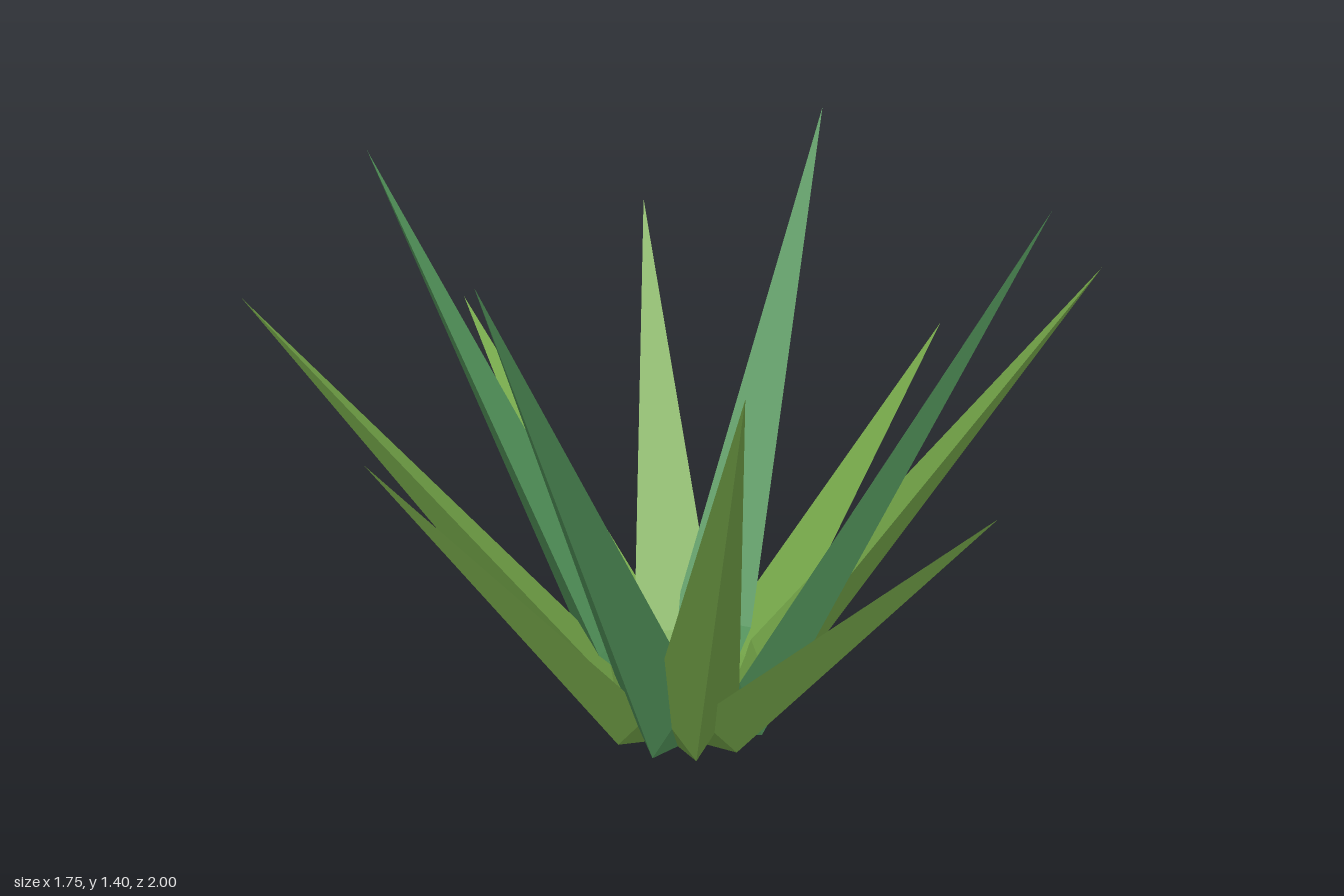
import * as THREE from 'three';

// One leaf: a flat inner face with a bend near the base, and a keeled back.
// Points are given as (distance from centre, height, sideways).
function leafGeometry(angle, reach, height) {
  const c = Math.cos(angle), s = Math.sin(angle);
  const p = (r, y, w) => [c * r - s * w, y, s * r + c * w];
  const midY = 0.14 * height;
  const baseR = p(0.1, 0, -0.05), baseL = p(0.1, 0, 0.05);
  const midR = p(0.188, midY, -0.108), midL = p(0.188, midY, 0.108);
  const keel = p(0.21, 0, 0), tip = p(reach, height, 0);
  const faces = [
    [baseR, baseL, midL], [baseR, midL, midR], [midR, midL, tip], // inner face
    [midL, baseL, keel], [tip, midL, keel],                       // left back
    [baseR, midR, keel], [midR, tip, keel],                       // right back
    [baseL, baseR, keel],                                         // underside
  ];
  const geometry = new THREE.BufferGeometry();
  geometry.setAttribute('position', new THREE.Float32BufferAttribute(faces.flat(2), 3));
  geometry.computeVertexNormals();
  return geometry;
}

export function createModel() {
  const group = new THREE.Group();
  group.name = 'spikyPlant';

  const deepGreen = new THREE.MeshStandardMaterial({ color: 0x52945a, flatShading: true });
  deepGreen.name = 'deepGreen';
  const leafGreen = new THREE.MeshStandardMaterial({ color: 0x76a84a, flatShading: true });
  leafGreen.name = 'leafGreen';

  // Half a turn of leaves: [degrees from +x towards +z, reach, height, material, name]
  const leaves = [
    [0, 0.84, 1.4, deepGreen, 'tallLeaf'],
    [30, 1.01, 0.895, leafGreen, 'lowLeaf'],
    [60, 0.855, 1.16, leafGreen, 'middleLeaf'],
    [90, 1.0, 1.4, deepGreen, 'tallLeaf'],
    [120, 0.855, 0.9, leafGreen, 'lowLeaf'],
    [150, 1.01, 1.155, leafGreen, 'middleLeaf'],
  ];

  // Repeat them on the opposite side
  for (const turn of [0, 180]) {
    for (const [degrees, reach, height, material, name] of leaves) {
      const angle = THREE.MathUtils.degToRad(degrees + turn);
      const leaf = new THREE.Mesh(leafGeometry(angle, reach, height), material);
      leaf.name = name;
      group.add(leaf);
    }
  }
  return group;
}
